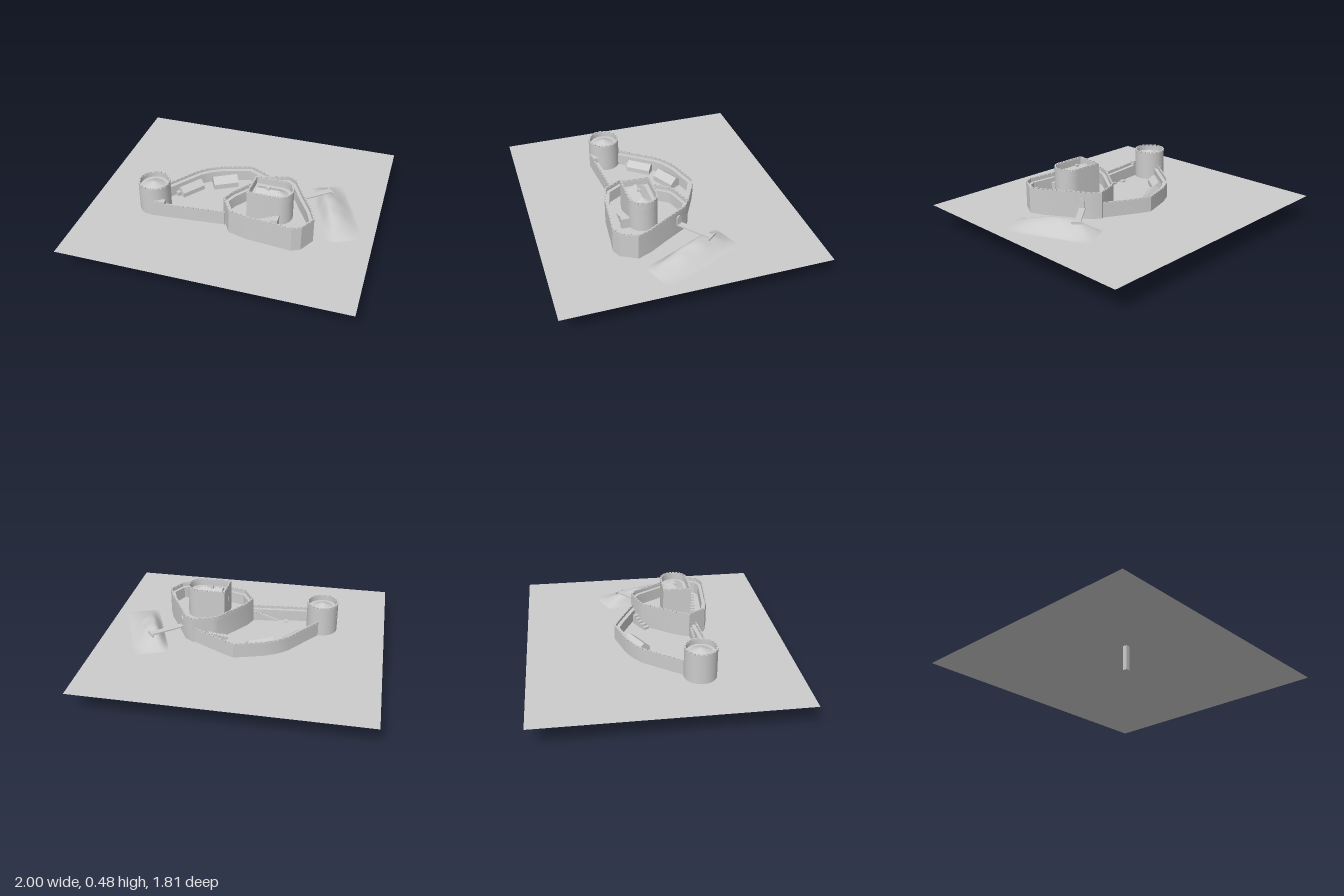
import * as THREE from 'three';
import { toCreasedNormals } from 'three/addons/utils/BufferGeometryUtils.js';

const GROUND = 0.175;
const mat = new THREE.MeshStandardMaterial({ color: 0xcccccc, side: THREE.DoubleSide });

export function createModel() {
  const model = new THREE.Group();

  const add = (name, geo, parent = model) => {
    const m = new THREE.Mesh(geo, mat);
    m.name = name;
    parent.add(m);
    return m;
  };
  const group = (name) => {
    const g = new THREE.Group();
    g.name = name;
    model.add(g);
    return g;
  };
  const heading = (dx, dz) => Math.atan2(-dz, dx);

  // Box standing on y0, turned about y
  const box = (name, x, z, l, w, y0, y1, rot = 0, parent = model) => {
    const m = add(name, new THREE.BoxGeometry(l, y1 - y0, w), parent);
    m.position.set(x, (y0 + y1) / 2, z);
    m.rotation.y = rot;
    return m;
  };

  // Vertical prism from an [x, z] outline, with an optional hole
  const prism = (name, pts, y0, y1, hole, parent) => {
    const vec = (a) => a.map(([x, z]) => new THREE.Vector2(x, z));
    const s = new THREE.Shape(vec(pts));
    if (hole) s.holes.push(new THREE.Path(vec(hole)));
    const g = new THREE.ExtrudeGeometry(s, { depth: y1 - y0, bevelEnabled: false });
    g.rotateX(Math.PI / 2).translate(0, y1, 0);
    return add(name, toCreasedNormals(g, 0.5), parent);
  };

  // Mitred parallel copy of a path; positive d moves to the right of travel (x, z)
  const offset = (pts, d, closed) => pts.map((p, i) => {
    const n = pts.length;
    const a = closed || i > 0 ? pts[(i + n - 1) % n] : null;
    const b = closed || i < n - 1 ? pts[(i + 1) % n] : null;
    const normal = (u, v) => {
      const l = Math.hypot(v[0] - u[0], v[1] - u[1]);
      return [-(v[1] - u[1]) / l, (v[0] - u[0]) / l];
    };
    const n1 = normal(a ?? p, a ? p : b), n2 = normal(b ? p : a, b ?? p);
    const k = d / (1 + n1[0] * n2[0] + n1[1] * n2[1]);
    return [p[0] + (n1[0] + n2[0]) * k, p[1] + (n1[1] + n2[1]) * k];
  });

  // Merlons along the inside of a path
  const merlons = (pts, closed, y, parent) => {
    const mid = offset(pts, 0.005, closed);
    const n = mid.length - (closed ? 0 : 1);
    for (let i = 0; i < n; i++) {
      const a = mid[i], b = mid[(i + 1) % mid.length];
      const dx = b[0] - a[0], dz = b[1] - a[1], len = Math.hypot(dx, dz);
      const count = Math.max(1, Math.round(len / 0.036)), step = len / count;
      for (let j = 0; j < count; j++) {
        const t = (j + 0.5) / count;
        box('merlon', a[0] + dx * t, a[1] + dz * t, step * 0.74, 0.01, y - 0.009, y, heading(dx, dz), parent);
      }
    }
  };

  // Wall with wall walk, parapet and merlons
  const wall = (name, pts, thick, top, closed, walk = 0.03) => {
    const g = group(name);
    const ring = (part, d, y0, y1) => {
      const inner = offset(pts, d, closed);
      if (closed) prism(part, pts, y0, y1, inner, g);
      else prism(part, [...pts, ...inner.reverse()], y0, y1, null, g);
    };
    ring('wallBody', thick, GROUND, top - walk);
    ring('parapet', 0.01, top - walk, top - 0.009);
    merlons(pts, closed, top, g);
    return g;
  };

  // House with a gable roof, ridge along its length
  const house = (name, x, z, l, w, y0, eave, ridge, rot, parent = model) => {
    const s = new THREE.Shape();
    s.moveTo(-w / 2, 0).lineTo(w / 2, 0).lineTo(w / 2, eave - y0);
    s.lineTo(0, ridge - y0).lineTo(-w / 2, eave - y0);
    const g = new THREE.ExtrudeGeometry(s, { depth: l, bevelEnabled: false });
    g.translate(0, 0, -l / 2).rotateY(Math.PI / 2);
    const m = add(name, g, parent);
    m.position.set(x, y0, z);
    m.rotation.y = rot;
    return m;
  };

  // Ground
  add('ground', new THREE.PlaneGeometry(2, 1.81).rotateX(-Math.PI / 2)).position.y = GROUND;

  // Inner ward on a raised floor
  const ward = [[-0.035, 0.25], [0, 0.165], [0.165, -0.065], [0.2, -0.085], [0.34, -0.13], [0.4, -0.09],
    [0.485, 0.06], [0.57, 0.2], [0.61, 0.3], [0.55, 0.41], [0.49, 0.44], [0.17, 0.41], [0.04, 0.375]];
  wall('innerWardWall', ward, 0.032, 0.365, true);
  prism('innerWardFloor', offset(ward, 0.02, true), GROUND, 0.25);

  // Keep, flat at one end and rounded at the other
  const keep = group('keep');
  const keepPlan = [[0.15, 0.088], [0.345, 0.092]];
  for (let i = 1; i <= 11; i++) {
    const a = -Math.PI / 2 + (i * Math.PI) / 12;
    keepPlan.push([0.345 + 0.095 * Math.cos(a), 0.192 + 0.1 * Math.sin(a)]);
  }
  keepPlan.push([0.345, 0.292], [0.14, 0.29]);
  prism('keepBody', keepPlan, 0.25, 0.425, null, keep);
  prism('keepParapet', keepPlan, 0.425, 0.469, offset(keepPlan, 0.012, true), keep);
  merlons(keepPlan, true, 0.478, keep);
  house('keepRoof', 0.262, 0.193, 0.155, 0.126, 0.425, 0.427, 0.458, 0, keep);
  const apse = add('keepRoofEnd', new THREE.ConeGeometry(0.063, 0.032, 16, 1, true, 0, Math.PI), keep);
  apse.position.set(0.34, 0.442, 0.193);
  box('chimney', 0.265, 0.193, 0.022, 0.02, 0.43, 0.468, 0, keep);
  box('keepWindow', 0.143, 0.19, 0.006, 0.01, 0.36, 0.39, 0, keep);

  // Stair block against the keep
  for (let i = 0; i < 6; i++) box('keepStep', 0.215 + i * 0.024, 0.315, 0.024, 0.05, 0.25, 0.262 + i * 0.011);
  box('keepLanding', 0.357, 0.318, 0.026, 0.06, 0.25, 0.325);

  // Outer curtain walls
  wall('backCurtain', [[-0.53, 0.13], [-0.345, -0.12], [-0.28, -0.175], [-0.19, -0.222], [0.015, -0.283],
    [0.1, -0.245], [0.335, -0.12]], 0.036, 0.285, false, 0.022);
  wall('frontCurtain', [[-0.01, 0.305], [-0.54, 0.352]], 0.036, 0.285, false, 0.022);
  box('curtainTurret', -0.475, 0.328, 0.075, 0.035, GROUND, 0.298, heading(-0.53, 0.047));
  prism('outerWardFloor', [[-0.5, 0.14], [-0.33, -0.1], [-0.18, -0.2], [0.015, -0.26], [0.3, -0.11], [0.02, 0.29], [-0.5, 0.33]], GROUND, 0.181);

  // Round tower with a cone roof sunk behind its parapet
  const tower = group('roundTower');
  tower.position.set(-0.545, 0, 0.237);
  const profile = [[0.111, GROUND], [0.111, 0.386], [0.1, 0.386], [0.1, 0.355], [0.078, 0.355], [0, 0.388]];
  const lathe = new THREE.LatheGeometry(profile.map(([r, y]) => new THREE.Vector2(r, y)), 32);
  add('towerBody', toCreasedNormals(lathe, 0.35), tower);
  for (let i = 0; i < 20; i++) {
    const a = (i / 20) * Math.PI * 2;
    box('towerMerlon', 0.1055 * Math.cos(a), 0.1055 * Math.sin(a), 0.0105, 0.024, 0.386, 0.396, -a, tower);
  }
  for (const a of [1.8, 3.4, 4.6]) {
    box('arrowSlit', 0.11 * Math.cos(a), 0.11 * Math.sin(a), 0.005, 0.006, 0.265, 0.3, -a, tower);
  }

  // Houses along the back curtain
  const hallDir = heading(-21, 28), barnDir = heading(29, -16);
  house('hall', -0.365, 0.005, 0.18, 0.09, GROUND, 0.215, 0.25, hallDir);
  box('hallAnnex', -0.432, 0.072, 0.04, 0.04, GROUND, 0.21, hallDir);
  house('barn', -0.15, -0.142, 0.18, 0.105, GROUND, 0.22, 0.26, barnDir);

  // Well with its shaft running below ground
  box('wellShaft', -0.277, 0.272, 0.032, 0.032, 0, 0.192, 0.12);

  // Steps up to the front curtain and to the inner ward
  for (let i = 0; i < 8; i++) {
    box('curtainStep', -0.2 + i * 0.022, 0.28 - i * 0.002, 0.022, 0.022, GROUND, 0.19 + i * 0.009, 0.09);
  }
  for (let i = 0; i < 5; i++) {
    box('wardStep', 0.12 + i * 0.024, -0.045 - i * 0.014, 0.026, 0.045, GROUND, 0.2 + i * 0.013, heading(0.14, -0.08));
  }

  // Arched gate in the inner ward wall
  const arch = new THREE.Shape();
  arch.moveTo(-0.02, 0).lineTo(0.02, 0).lineTo(0.02, 0.05);
  arch.absarc(0, 0.05, 0.02, 0, Math.PI, false);
  const gate = add('gate', new THREE.ExtrudeGeometry(arch, { depth: 0.008, bevelEnabled: false, curveSegments: 8 }));
  gate.position.set(0.434, 0.252, -0.03);
  gate.rotation.y = Math.atan2(0.87, -0.49);

  // Bridge from the gate to the earthwork
  const a = [0.42, -0.025], b = [0.625, -0.195];
  const rot = heading(b[0] - a[0], b[1] - a[1]);
  box('bridgeDeck', (a[0] + b[0]) / 2, (a[1] + b[1]) / 2, 0.266, 0.042, 0.244, 0.254, rot);
  box('bridgeSill', b[0], b[1], 0.012, 0.08, 0.24, 0.256, rot);

  // Earthwork, steep toward the castle and sloping gently away
  const mound = new THREE.PlaneGeometry(0.24, 0.62, 24, 40).rotateX(-Math.PI / 2);
  const p = mound.attributes.position;
  for (let i = 0; i < p.count; i++) {
    const s = p.getX(i) + 0.05, t = p.getZ(i) + 0.07;
    const along = Math.cos((Math.PI / 2) * (t > 0 ? t / 0.38 : t / 0.24));
    const across = Math.cos((Math.PI / 2) * (s > 0 ? s / 0.17 : s / 0.07)) ** 1.4 || 0;
    const ripple = 1 + 0.05 * Math.sin(t * 38 + s * 20) * Math.sin(s * 30);
    p.setY(i, 0.001 + 0.079 * Math.max(0, along) * Math.max(0, across) * ripple);
  }
  mound.computeVertexNormals();
  const earth = add('earthwork', mound);
  earth.position.set(0.7, GROUND, -0.045);
  earth.rotation.y = Math.atan2(0.39, 0.92);

  return model;
}
